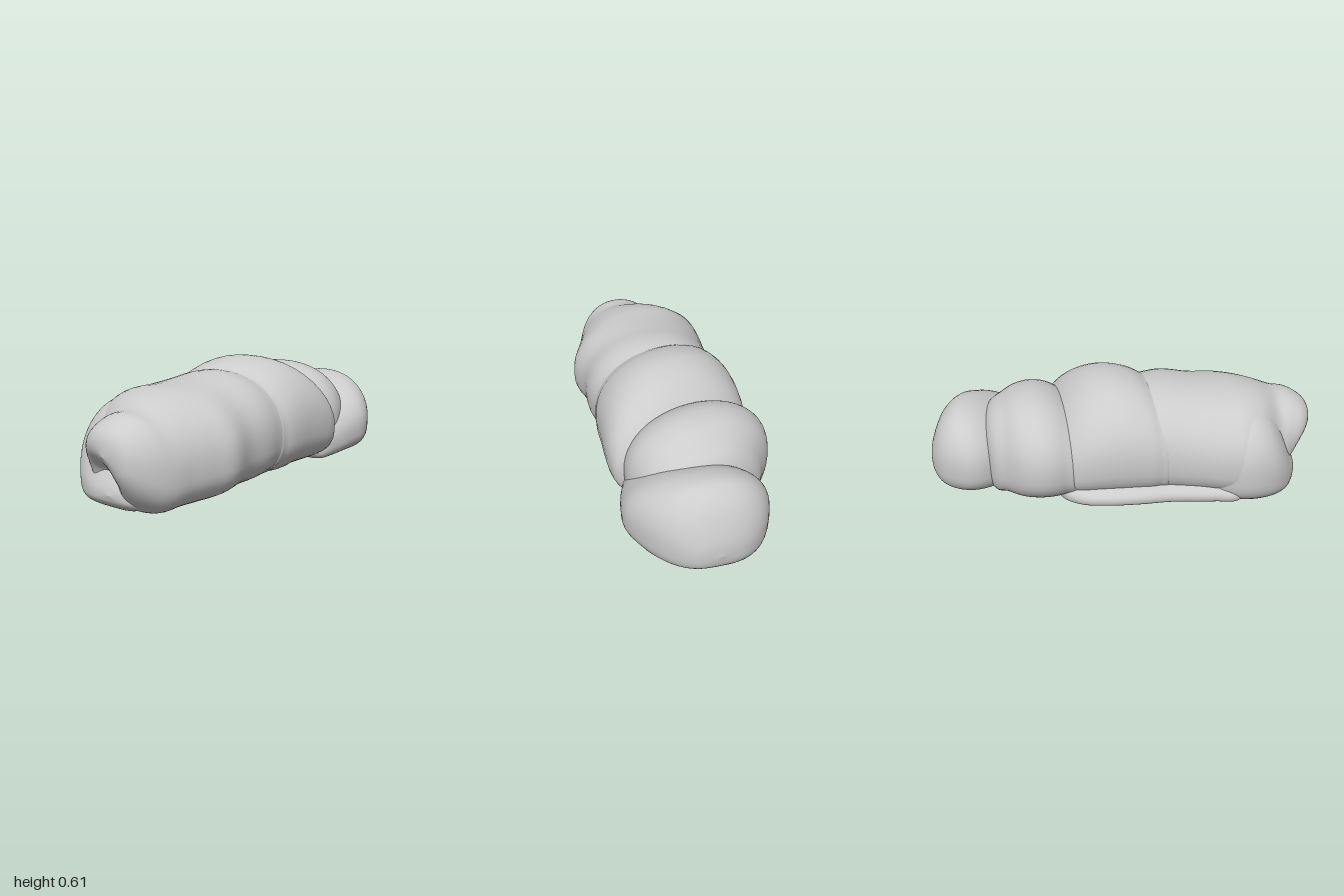
import * as THREE from 'three';

const material = new THREE.MeshStandardMaterial({ color: 0xcccccc, roughness: 0.8 });
const RINGS = 48, SIDES = 48;

// Bun cross-section: domed above; base sets the lower half, from boxy (0.5) to oval (1)
function crossSection(angle, x0, x1, top, bottom, base) {
  const c = Math.cos(angle), s = Math.sin(angle);
  const e = s >= 0 ? 0.93 : base;
  const mid = bottom + (top - bottom) * 0.42;
  const px = Math.sign(c) * Math.abs(c) ** e;
  const py = Math.sign(s) * Math.abs(s) ** e;
  return [(x0 + x1) / 2 + px * (x1 - x0) / 2, mid + py * (s >= 0 ? top - mid : mid - bottom)];
}

// Lofts sections [z, left, right, top, bottom], listed front to back, closed to a point at both ends.
// shear slants the bands; each dent is [x, y, z, push x, push y, push z, radius].
function dough(name, sections, { base = 0.75, shear = 0, dents = [] }) {
  const widths = new THREE.CatmullRomCurve3(sections.map(s => new THREE.Vector3(s[1], s[2], s[0])), false, 'catmullrom', 0.5);
  const heights = new THREE.CatmullRomCurve3(sections.map(s => new THREE.Vector3(s[3], s[4], s[0])), false, 'catmullrom', 0.5);
  const positions = [], index = [];
  for (let i = 0; i <= RINGS; i++) {
    const w = widths.getPoint(i / RINGS), h = heights.getPoint(i / RINGS);
    for (let j = 0; j < SIDES; j++) {
      const [x, y] = crossSection(j / SIDES * Math.PI * 2, w.x, w.y, h.x, h.y, base);
      const p = new THREE.Vector3(x, y, w.z + shear * x);
      const start = p.clone();
      for (const [dx, dy, dz, mx, my, mz, r] of dents) {
        const d = start.distanceTo(new THREE.Vector3(dx, dy, dz)) / r;
        p.addScaledVector(new THREE.Vector3(mx, my, mz), Math.exp(-d * d));
      }
      positions.push(p.x, Math.max(p.y, 0), p.z);
      if (i < RINGS) {
        const a = i * SIDES + j, b = i * SIDES + (j + 1) % SIDES;
        index.push(a, a + SIDES, b, b, a + SIDES, b + SIDES);
      }
    }
  }
  const geometry = new THREE.BufferGeometry();
  geometry.setAttribute('position', new THREE.Float32BufferAttribute(positions, 3));
  geometry.setIndex(index);
  geometry.computeVertexNormals();
  const mesh = new THREE.Mesh(geometry, material);
  mesh.name = name;
  return mesh;
}

export function createModel() {
  const group = new THREE.Group();
  group.name = 'twistedBun';

  group.add(
    // Long front roll, narrowing to the curled tip
    dough('frontRoll', [
      [1.005, 0.05, 0.05, 0.3, 0.3],
      [0.985, -0.06, 0.16, 0.385, 0.2],
      [0.94, -0.13, 0.22, 0.435, 0.12],
      [0.87, -0.165, 0.27, 0.468, 0.05],
      [0.8, -0.2, 0.3, 0.475, 0.012],
      [0.71, -0.31, 0.325, 0.515, 0.008],
      [0.61, -0.37, 0.36, 0.54, 0.008],
      [0.5, -0.37, 0.395, 0.545, 0.015],
      [0.36, -0.35, 0.37, 0.555, 0.02],
      [0.22, -0.34, 0.375, 0.57, 0.022],
      [0.1, -0.345, 0.36, 0.555, 0.03],
      [-0.1, -0.32, 0.33, 0.5, 0.03],
      [-0.2, 0, 0, 0.25, 0.25],
    ], { dents: [[-0.03, 0.18, 0.94, 0, 0.02, -0.11, 0.1]] }),

    // Cheek and lower lip that the tip curls into
    dough('frontCheek', [
      [0.92, 0.0, 0.0, 0.1, 0.1],
      [0.905, -0.13, 0.1, 0.145, 0.06],
      [0.86, -0.24, 0.15, 0.23, 0.025],
      [0.8, -0.315, 0.16, 0.36, 0.012],
      [0.73, -0.36, 0.16, 0.45, 0.008],
      [0.64, -0.382, 0.15, 0.49, 0.008],
      [0.54, -0.365, 0.12, 0.47, 0.012],
      [0.44, -0.3, 0.1, 0.4, 0.03],
      [0.36, -0.1, -0.1, 0.25, 0.25],
    ], { base: 0.58 }),

    // Low fold of dough showing under the right flank
    dough('flankFold', [
      [0.66, -0.1, -0.1, 0.08, 0.08],
      [0.6, -0.34, 0.1, 0.14, 0.025],
      [0.45, -0.365, 0.15, 0.16, 0.02],
      [0.25, -0.365, 0.15, 0.16, 0.025],
      [0.08, -0.39, 0.15, 0.17, 0.03],
      [-0.08, -0.395, 0.15, 0.17, 0.03],
      [-0.22, -0.37, 0.12, 0.16, 0.03],
      [-0.32, -0.28, 0.1, 0.14, 0.035],
      [-0.36, -0.1, -0.1, 0.08, 0.08],
    ], { base: 0.7 }),

    // Tallest band across the middle
    dough('middleBand', [
      [0.24, 0, 0, 0.25, 0.25],
      [0.19, -0.3, 0.32, 0.51, 0.04],
      [0.12, -0.35, 0.365, 0.565, 0.03],
      [0.04, -0.365, 0.38, 0.6, 0.025],
      [-0.07, -0.375, 0.385, 0.615, 0.025],
      [-0.18, -0.375, 0.39, 0.59, 0.025],
      [-0.27, -0.365, 0.385, 0.535, 0.025],
      [-0.34, -0.33, 0.355, 0.46, 0.03],
      [-0.4, -0.2, 0.25, 0.35, 0.04],
      [-0.42, 0.02, 0.02, 0.2, 0.2],
    ], { shear: -0.18 }),

    // Narrower band behind it
    dough('backBand', [
      [-0.18, 0, 0, 0.25, 0.25],
      [-0.24, -0.3, 0.25, 0.42, 0.05],
      [-0.33, -0.37, 0.32, 0.505, 0.03],
      [-0.43, -0.4, 0.335, 0.54, 0.025],
      [-0.53, -0.38, 0.31, 0.53, 0.025],
      [-0.61, -0.32, 0.27, 0.485, 0.03],
      [-0.69, -0.24, 0.2, 0.42, 0.04],
      [-0.76, 0, 0, 0.25, 0.25],
    ], { shear: -0.12 }),

    // Rounded back end, wrapping forward low along the left side
    dough('rearCurl', [
      [-0.32, 0.24, 0.24, 0.1, 0.1],
      [-0.36, 0.14, 0.32, 0.19, 0.035],
      [-0.46, 0.02, 0.36, 0.29, 0.025],
      [-0.57, -0.14, 0.39, 0.36, 0.025],
      [-0.67, -0.235, 0.4, 0.415, 0.02],
      [-0.76, -0.265, 0.37, 0.447, 0.015],
      [-0.85, -0.24, 0.315, 0.445, 0.015],
      [-0.93, -0.18, 0.24, 0.375, 0.035],
      [-0.985, -0.08, 0.15, 0.25, 0.09],
      [-1.0, 0.04, 0.04, 0.16, 0.16],
    ], { base: 0.65, dents: [[0.12, 0.0, -0.83, 0, 0.07, 0, 0.1]] }),
  );
  return group;
}
